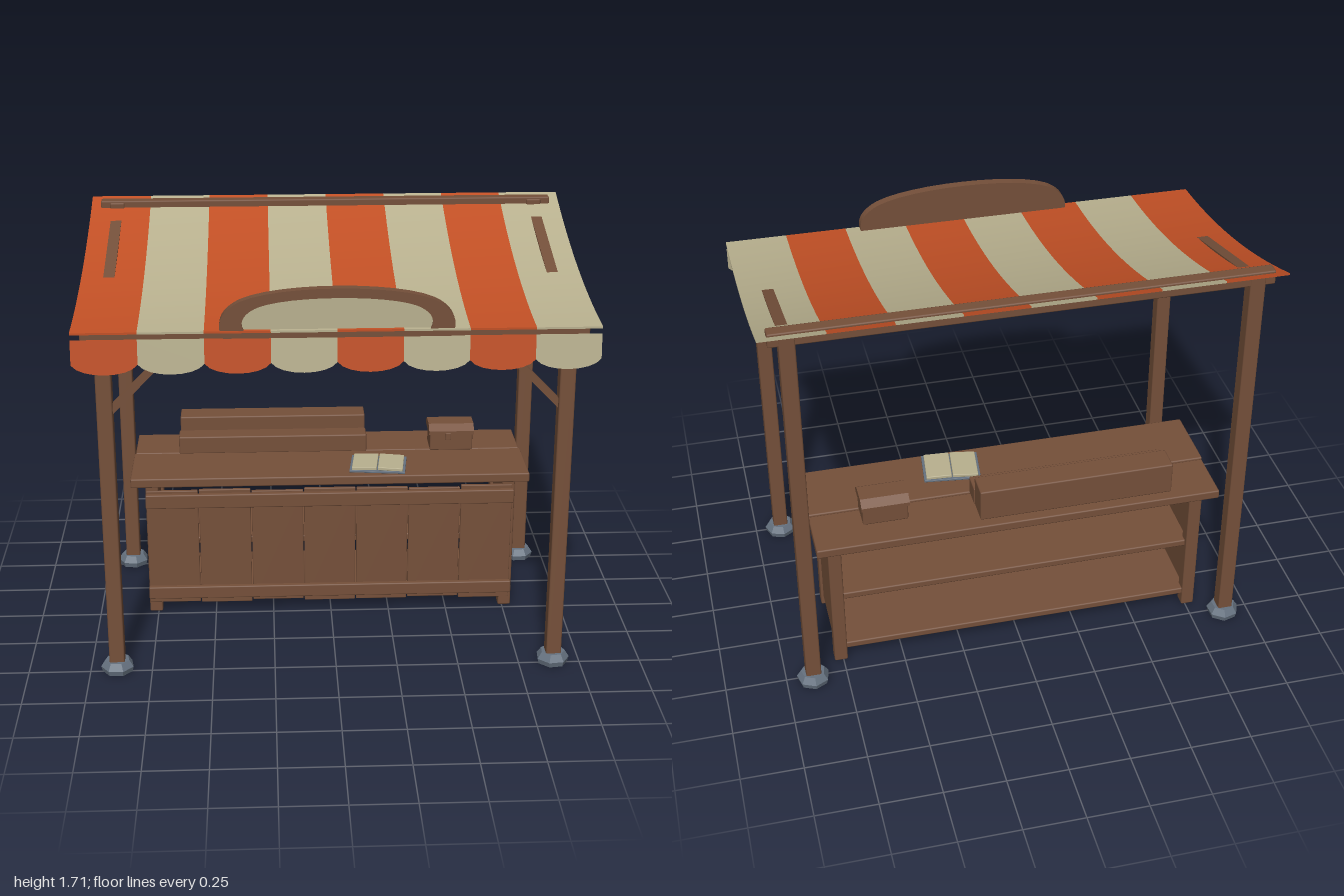
import * as THREE from 'three';
import { RoundedBoxGeometry } from 'three/addons/geometries/RoundedBoxGeometry.js';

const material = (name, color, extra = {}) => {
  const m = new THREE.MeshStandardMaterial({ color, ...extra });
  m.name = name;
  return m;
};

export function createModel() {
  const model = new THREE.Group();
  model.name = 'marketStall';
  const wood = material('brown wood', 0x75503a);
  const orange = material('orange cloth', 0xc25025);
  const cream = material('cream cloth', 0xb9b18f);
  const stone = material('blue grey stone', 0x667280);

  const add = (name, geometry, mat, x = 0, y = 0, z = 0, parent = model) => {
    const mesh = new THREE.Mesh(geometry, mat);
    mesh.name = name;
    mesh.position.set(x, y, z);
    parent.add(mesh);
    return mesh;
  };
  // Box given by its limits, with lightly worn edges
  const slab = (name, [x0, x1], [y0, y1], [z0, z1], mat = wood, parent = model) => {
    const w = x1 - x0, h = y1 - y0, d = z1 - z0;
    const r = Math.min(0.006, w / 5, h / 5, d / 5);
    return add(name, new RoundedBoxGeometry(w, h, d, 1, r), mat,
      (x0 + x1) / 2, (y0 + y1) / 2, (z0 + z1) / 2, parent);
  };
  // Straight timber from a to b
  const timber = (name, a, b, w, h) => {
    const p = new THREE.Vector3(...a), q = new THREE.Vector3(...b);
    const mesh = add(name, new THREE.BoxGeometry(w, h, p.distanceTo(q)), wood);
    mesh.position.copy(p).add(q).multiplyScalar(0.5);
    mesh.lookAt(q);
    return mesh;
  };

  // Posts, stone feet, rafters and braces
  const footGeometry = new THREE.LatheGeometry(
    [[0, 0], [0.062, 0], [0.068, 0.022], [0.05, 0.05], [0, 0.05]].map(p => new THREE.Vector2(...p)), 7
  ).toNonIndexed();
  footGeometry.computeVertexNormals();
  for (const s of [-1, 1]) {
    const x = s * 0.89;
    for (const [name, z, top] of [['front', 0.487, 1.465], ['back', -0.52, 1.71]]) {
      slab(name + 'Post', [x - 0.031, x + 0.031], [0.03, top], [z - 0.031, z + 0.031]);
      add(name + 'Foot', footGeometry, stone, x, 0.008, z).rotation.y = s + z;
    }
    timber('rafter', [x, 1.413, 0.48], [x, 1.665, -0.515], 0.045, 0.044);
    timber('brace', [s * 0.87, 1.135, 0.487], [s * 0.59, 1.42, 0.487], 0.03, 0.028);
    slab('beamCap', [s * 0.945 - 0.006, s * 0.945 + 0.006], [1.405, 1.458], [0.508, 0.556], stone);
  }
  slab('frontBeam', [-0.94, 0.94], [1.41, 1.455], [0.512, 0.552]);
  slab('frontRail', [-0.965, 0.955], [1.443, 1.474], [0.54, 0.57]);
  slab('ridgeBeam', [-0.96, 0.96], [1.66, 1.718], [-0.548, -0.495]);

  // Sagging striped awning with a scalloped valance
  const sag = z => 1.55 - 0.207 * z + 0.136 * z * z;
  const stripeGeometry = new THREE.BoxGeometry(0.25, 0.008, 1.16, 1, 1, 16);
  const pos = stripeGeometry.attributes.position;
  for (let i = 0; i < pos.count; i++) pos.setY(i, pos.getY(i) + sag(pos.getZ(i)));
  stripeGeometry.computeVertexNormals();

  const scallop = new THREE.Shape();
  scallop.moveTo(-0.125, 0);
  scallop.lineTo(-0.125, -0.095);
  scallop.bezierCurveTo(-0.09, -0.148, 0.09, -0.148, 0.125, -0.095);
  scallop.lineTo(0.125, 0);
  const scallopGeometry = new THREE.ExtrudeGeometry(scallop,
    { depth: 0.006, bevelEnabled: false, curveSegments: 8 });
  for (let i = 0; i < 8; i++) {
    const x = -0.875 + i * 0.25, mat = i % 2 ? cream : orange;
    add('awningStripe', stripeGeometry, mat, x);
    add('valanceScallop', scallopGeometry, mat, x, 1.449, 0.57).rotation.x = -0.11;
  }

  // Arched sign board with a raised frame around a pale panel
  const arch = (Path, w, y0, y1) => {
    const h = y1 - y0, p = new Path();
    p.moveTo(-w * 0.96, y0);
    p.lineTo(w * 0.96, y0);
    p.bezierCurveTo(w * 1.03, y0 + h * 0.25, w, y0 + h * 0.55, w * 0.82, y0 + h * 0.75);
    p.bezierCurveTo(w * 0.5, y1 + h * 0.08, -w * 0.5, y1 + h * 0.08, -w * 0.82, y0 + h * 0.75);
    p.bezierCurveTo(-w, y0 + h * 0.55, -w * 1.03, y0 + h * 0.25, -w * 0.96, y0);
    return p;
  };
  const board = arch(THREE.Shape, 0.445, 1.448, 1.64);
  const opening = arch(THREE.Path, 0.36, 1.472, 1.603);
  const extrude = (shape, depth) => new THREE.ExtrudeGeometry(shape,
    { depth, bevelEnabled: false, curveSegments: 12 });
  add('signBack', extrude(board, 0.022), wood, 0, 0, 0.538);
  const frame = arch(THREE.Shape, 0.445, 1.448, 1.64);
  frame.holes.push(opening);
  add('signFrame', extrude(frame, 0.016), wood, 0, 0, 0.56);
  add('signPanel', extrude(arch(THREE.Shape, 0.36, 1.472, 1.603), 0.005), cream, 0, 0, 0.56);

  // Counter: top boards, legs, side panels, front planks, rails and shelves
  const counter = new THREE.Group();
  counter.name = 'counter';
  model.add(counter);
  const part = (name, x, y, z, mat = wood) => slab(name, x, y, z, mat, counter);
  part('topBoardFront', [-0.845, 0.84], [0.615, 0.655], [-0.257, 0.035]);
  part('topBoardBack', [-0.84, 0.835], [0.615, 0.653], [-0.49, -0.263]);
  for (const s of [-1, 1]) {
    const span = (a, b) => (s > 0 ? [a, b] : [-b, -a]);
    part('frontLeg', span(0.732, 0.787), [0.01, 0.618], [-0.072, -0.018]);
    part('backLeg', span(0.732, 0.787), [0.01, 0.618], [-0.438, -0.384]);
    part('sidePanel', span(0.745, 0.776), [0.05, 0.57], [-0.43, -0.02]);
  }
  for (let i = 0; i < 7; i++) {
    const x = -0.785 + i * 0.2236, wobble = 0.005 * Math.sin(i * 2.3);
    part('frontPlank', [x, x + 0.219], [0.055 - wobble, 0.578 + wobble], [-0.032, -0.015]);
  }
  part('upperRail', [-0.787, 0.782], [0.505, 0.567], [-0.02, 0.006]);
  part('lowerRail', [-0.787, 0.782], [0.08, 0.135], [-0.02, 0.006]);
  part('bottomShelf', [-0.75, 0.75], [0.065, 0.095], [-0.43, -0.03]);
  part('middleShelf', [-0.75, 0.75], [0.325, 0.355], [-0.42, -0.03]);

  // Stepped display stand
  slab('displayStep', [-0.65, 0.165], [0.652, 0.73], [-0.34, -0.25]);
  slab('displayBack', [-0.645, 0.162], [0.652, 0.79], [-0.447, -0.338]);

  // Small chest with a domed lid and latch
  slab('chestBody', [0.442, 0.628], [0.653, 0.735], [-0.37, -0.245]);
  const lid = new THREE.Shape();
  [[-0.075, 0], [0.075, 0], [0.075, 0.016], [0.042, 0.04], [-0.042, 0.04], [-0.075, 0.016]]
    .forEach(([a, b], i) => (i ? lid.lineTo(a, b) : lid.moveTo(a, b)));
  const lidMesh = add('chestLid', extrude(lid, 0.196), wood, 0.437, 0.73, -0.308);
  lidMesh.rotation.y = Math.PI / 2;
  slab('chestLatch', [0.509, 0.533], [0.705, 0.738], [-0.246, -0.23]);

  // Open book lying on the counter
  const book = new THREE.Group();
  book.name = 'openBook';
  book.position.set(0.205, 0.655, -0.08);
  book.rotation.y = -0.12;
  model.add(book);
  slab('bookCover', [-0.118, 0.118], [0, 0.009], [-0.088, 0.088], stone, book);
  for (const s of [-1, 1]) {
    const pages = slab('bookPages', s > 0 ? [0.002, 0.108] : [-0.108, -0.002],
      [0.008, 0.022], [-0.08, 0.08], cream, book);
    pages.rotation.z = -s * 0.04;
  }
  return model;
}
